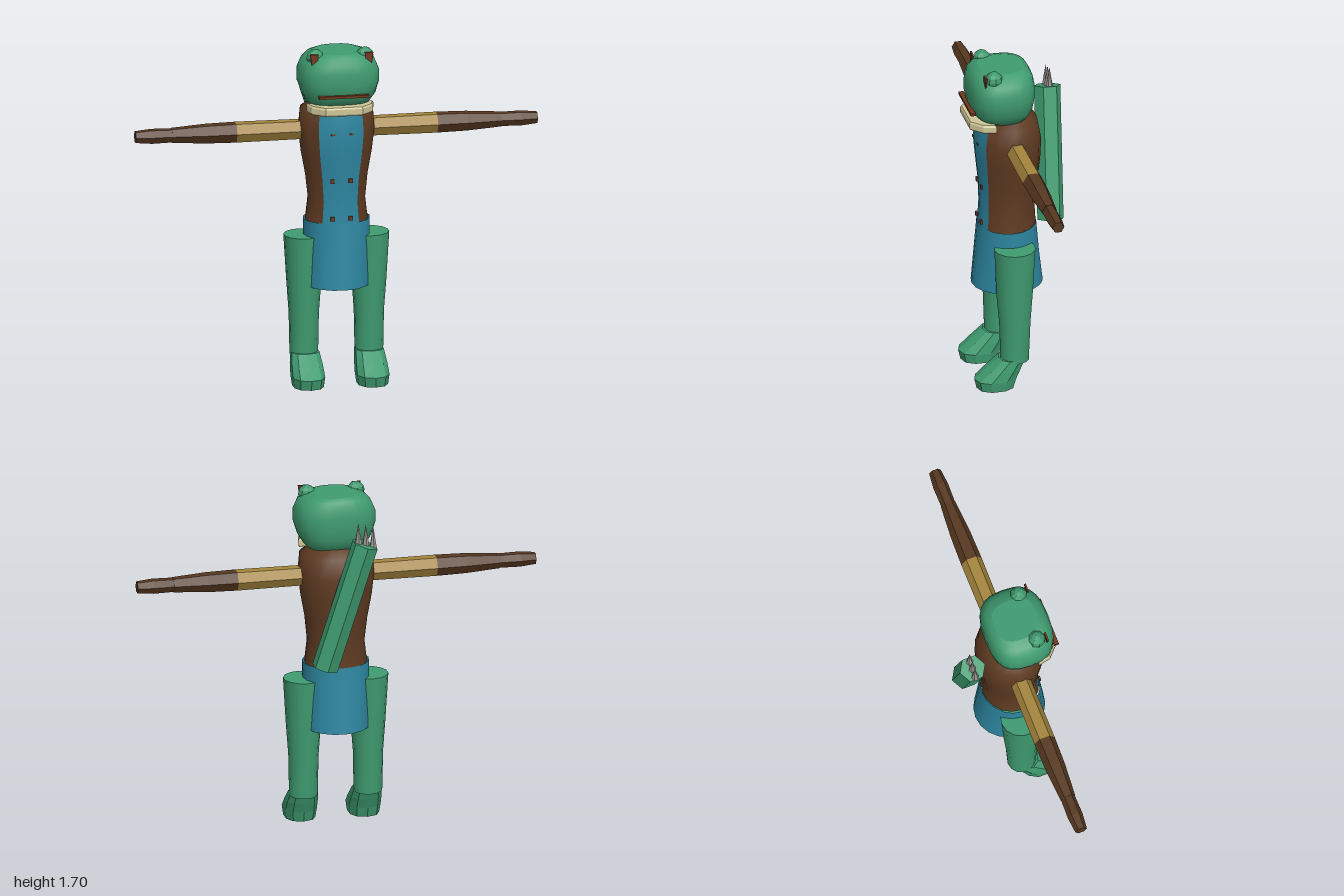
import * as THREE from 'three';

const mat = (name, color, extra = {}) => {
  const m = new THREE.MeshStandardMaterial({ color, ...extra });
  m.name = name;
  return m;
};

// Loft of rounded cross-sections, bottom to top. Ring: [y, halfWidth, zFront, zBack]
function loft(rings, { n = 20, from = 0, to = n, power = 2, cx = 0, caps = true } = {}) {
  const pos = [], idx = [], closed = to - from === n;
  const cols = closed ? n : to - from + 1;
  const f = (v) => Math.sign(v) * Math.pow(Math.abs(v), 2 / power);
  const addRing = ([y, rx, zf, zb]) => {
    const start = pos.length / 3;
    for (let i = 0; i < cols; i++) {
      const a = ((from + i) / n) * Math.PI * 2;
      pos.push(cx + rx * f(Math.sin(a)), y, (zf + zb) / 2 + ((zf - zb) / 2) * f(Math.cos(a)));
    }
    return start;
  };
  const starts = rings.map(addRing);
  const spans = closed ? n : cols - 1;
  for (let r = 0; r < rings.length - 1; r++) {
    const a = starts[r], b = starts[r + 1];
    for (let i = 0; i < spans; i++) {
      const j = (i + 1) % cols;
      idx.push(a + i, a + j, b + j, a + i, b + j, b + i);
    }
  }
  if (caps) {
    [rings[0], rings[rings.length - 1]].forEach((ring, top) => {
      const s = addRing(ring), c = pos.length / 3;
      pos.push(cx, ring[0], (ring[2] + ring[3]) / 2);
      for (let i = 0; i < spans; i++) {
        const j = (i + 1) % cols;
        idx.push(c, s + (top ? i : j), s + (top ? j : i));
      }
    });
  }
  const g = new THREE.BufferGeometry();
  g.setAttribute('position', new THREE.Float32BufferAttribute(pos, 3));
  g.setIndex(idx);
  g.computeVertexNormals();
  return g;
}

export function createModel() {
  const root = new THREE.Group();
  const green = mat('green skin', 0x3f9b70);
  const greenFlat = green.clone();
  greenFlat.flatShading = true;
  const blue = mat('blue cloth', 0x2d86a1, { side: THREE.DoubleSide });
  const brown = mat('brown coat', 0x5f3b22);
  const sleeve = mat('dark brown sleeve', 0x573820, { flatShading: true });
  const tan = mat('tan sleeve', 0xa5853d, { flatShading: true });
  const cream = mat('cream collar', 0xcfc698, { flatShading: true });
  const rust = mat('rust detail', 0x70381d);
  const grey = mat('grey spike', 0x9a9491, { flatShading: true });

  const add = (name, geometry, material, x = 0, y = 0, z = 0) => {
    const m = new THREE.Mesh(geometry, material);
    m.name = name;
    m.position.set(x, y, z);
    root.add(m);
    return m;
  };

  // Head
  add('head', loft([
    [1.39, 0.11, 0.13, -0.02], [1.43, 0.155, 0.205, -0.055], [1.47, 0.18, 0.235, -0.074],
    [1.53, 0.199, 0.245, -0.083], [1.59, 0.199, 0.245, -0.083], [1.635, 0.18, 0.235, -0.075],
    [1.665, 0.15, 0.215, -0.06], [1.68, 0.105, 0.185, -0.035],
  ], { n: 24, power: 2.7 }), green);
  add('mouth', new THREE.BoxGeometry(0.25, 0.013, 0.025), rust, 0, 1.483, 0.242);

  // Collar under the chin
  const half = [[0.16, 0.14], [0.147, 0.195], [0.09, 0.248]];
  const outline = [...half, ...half.map(([x, z]) => [-x, z]).reverse()];
  const collar = new THREE.ExtrudeGeometry(
    new THREE.Shape(outline.map(([x, z]) => new THREE.Vector2(x, z))),
    { depth: 0.026, bevelThickness: 0.009, bevelSize: 0.006, bevelSegments: 1 });
  add('collar', collar.rotateX(Math.PI / 2), cream, 0, 1.421, 0);

  // Torso: blue front panel, brown coat around the rest
  const torso = [
    [0.82, 0.155, 0.187, -0.098], [0.93, 0.142, 0.181, -0.092], [1.05, 0.155, 0.185, -0.105],
    [1.17, 0.177, 0.197, -0.12], [1.28, 0.19, 0.207, -0.125], [1.385, 0.181, 0.19, -0.105],
  ];
  const panel = torso.map((r) => r.slice());
  add('vestPanel', loft(panel, { from: -2, to: 2, caps: false }), blue);
  add('coat', loft([...torso, [1.42, 0.12, 0.13, -0.05]], { from: 2, to: 18 }), brown);
  add('shoulderTop', loft([[1.385, 0.181, 0.19, -0.105], [1.42, 0.12, 0.13, -0.05]]), brown);
  [[0.85, 0.184, 0.02], [1.04, 0.182, 0.02], [1.28, 0.2, 0.008]].forEach(([y, z, h]) => {
    for (const s of [-1, 1]) add('button', new THREE.BoxGeometry(0.02, h, 0.009), rust, s * 0.045, y, z);
  });

  // Open skirt
  add('skirt', loft([[0.495, 0.166, 0.22, -0.135], [0.66, 0.165, 0.205, -0.115], [0.825, 0.165, 0.19, -0.1]],
    { caps: false }), blue);

  for (const s of [-1, 1]) {
    // Eyes
    add('eye', new THREE.SphereGeometry(0.044, 8, 6), greenFlat, s * 0.123, 1.66, 0.138);
    const pupil = new THREE.Shape([[0.022, 0.025], [-0.02, 0.025], [-0.016, -0.005], [0, -0.03], [0.014, -0.03]]
      .map(([x, y]) => new THREE.Vector2(s * x, y)));
    add('pupil', new THREE.ExtrudeGeometry(pupil, { depth: 0.009, bevelEnabled: false }), rust,
      s * 0.135, 1.663, 0.18);

    // Legs and feet
    add('leg', loft([
      [0.14, 0.07, 0.115, -0.027], [0.35, 0.074, 0.122, -0.036],
      [0.5, 0.085, 0.136, -0.047], [0.745, 0.1, 0.146, -0.06],
    ], { n: 14, cx: s * 0.162 }), green);
    add('foot', loft([
      [0, 0.076, 0.235, 0.047], [0.05, 0.083, 0.247, 0.032],
      [0.1, 0.08, 0.19, 0.012], [0.155, 0.072, 0.125, -0.008],
    ], { n: 10, cx: s * 0.16, power: 2.3 }), greenFlat);

    // Arms: six-sided segments [xStart, rStart, xEnd, rEnd]
    [
      ['upperSleeve', tan, 0.15, 0.051, 0.5, 0.053],
      ['forearm', sleeve, 0.5, 0.053, 0.65, 0.05],
      ['cuff', sleeve, 0.65, 0.05, 0.82, 0.038],
      ['palm', sleeve, 0.82, 0.036, 0.92, 0.038],
      ['fingers', sleeve, 0.92, 0.038, 1.0, 0.03],
    ].forEach(([name, m, x0, r0, x1, r1]) => {
      const seg = add(name, new THREE.CylinderGeometry(r1, r0, x1 - x0, 6), m, s * (x0 + x1) / 2, 1.275, 0.036);
      seg.rotation.z = -s * Math.PI / 2;
    });
  }

  // Slanted quiver on the back, with three spikes
  const low = new THREE.Vector3(0.1, 0.85, -0.153), high = new THREE.Vector3(-0.095, 1.485, -0.186);
  const axis = high.clone().sub(low);
  const quiver = add('quiver', new THREE.CylinderGeometry(0.066, 0.066, axis.length(), 6), greenFlat);
  quiver.position.copy(low).add(high).multiplyScalar(0.5);
  quiver.quaternion.setFromUnitVectors(new THREE.Vector3(0, 1, 0), axis.normalize());
  for (const i of [-1, 0, 1]) {
    add('spike', new THREE.ConeGeometry(0.02, 0.12, 6), grey, -0.097 + i * 0.037, 1.53 + i * 0.01, -0.188);
  }
  return root;
}
